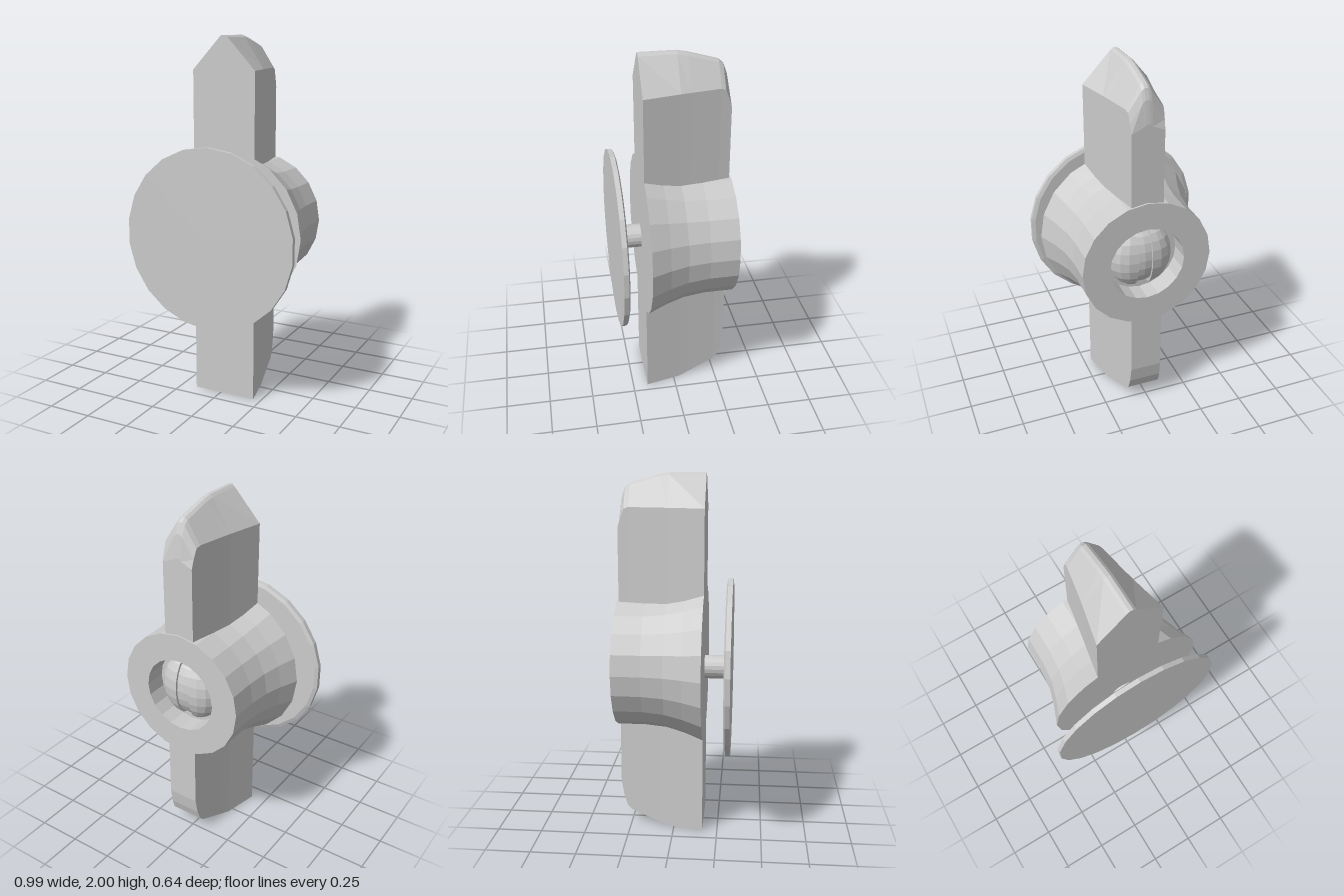
import * as THREE from 'three';

const CX = 0.0225, CY = 0.955; // axis of the knob body

export function createModel() {
  const group = new THREE.Group();
  const flat = new THREE.MeshStandardMaterial({ color: 0xcccccc, flatShading: true });
  const thin = new THREE.MeshStandardMaterial({ color: 0xcccccc, flatShading: true, side: THREE.DoubleSide });

  const add = (name, geometry, x = 0, y = 0, z = 0, material = flat) => {
    const mesh = new THREE.Mesh(geometry, material);
    mesh.name = name;
    mesh.position.set(x, y, z);
    group.add(mesh);
    return mesh;
  };

  // Lathe around the z axis, profile given as [radius, z]
  const latheZ = (profile, sides) =>
    new THREE.LatheGeometry(profile.map(([r, z]) => new THREE.Vector2(r, z)), sides).rotateX(Math.PI / 2);

  // Closed loops of [x, y, z], counter-clockwise seen from the front, ordered front to back
  const loft = (rings) => {
    const n = rings[0].length, index = [];
    for (let r = 0; r < rings.length - 1; r++) {
      for (let i = 0; i < n; i++) {
        const a = r * n + i, b = r * n + (i + 1) % n;
        index.push(a, a + n, b, b, a + n, b + n);
      }
    }
    const last = (rings.length - 1) * n;
    for (let i = 1; i < n - 1; i++) {
      index.push(0, i, i + 1, last, last + i + 1, last + i);
    }
    const g = new THREE.BufferGeometry();
    g.setAttribute('position', new THREE.Float32BufferAttribute(rings.flat(2), 3));
    g.setIndex(index);
    const out = g.toNonIndexed();
    out.computeVertexNormals();
    return out;
  };

  // Flared body with a recessed hole in the back
  add('knobBody', latheZ([
    [0, -0.2], [0.213, -0.2], [0.213, -0.32], [0.365, -0.32], [0.366, -0.16],
    [0.38, -0.04], [0.41, 0.06], [0.4525, 0.165], [0, 0.165],
  ], 20), CX, CY);

  // Wings: z, half width, lower end, shoulder height, peak height
  const stations = [
    [0.165, 0.1825, 0, 1.82, 2.0],
    [-0.035, 0.138, 0, 1.82, 2.0],
    [-0.09, 0.127, 0.018, 1.82, 1.99],
    [-0.25, 0.098, 0.075, 1.82, 1.945],
    [-0.275, 0.094, 0.1, 1.81, 1.925],
    [-0.295, 0.091, 0.16, 1.76, 1.87],
    [-0.31, 0.089, 0.25, 1.71, 1.75],
  ];
  add('upperWing', loft(stations.map(([z, w, , shoulder, peak]) => [
    [-w, 1.235, z], [w, 1.235, z], [w, shoulder, z], [0.025, peak - 0.012, z],
    [0.01, peak, z], [-0.01, peak, z], [-0.025, peak - 0.012, z], [-w, shoulder, z],
  ])), CX);
  add('lowerWing', loft(stations.map(([z, w, low]) => [
    [-w, low, z], [w, low, z], [w, 0.675, z], [-w, 0.675, z],
  ])), CX);

  // Slotted domed screw head in the hole
  const R = 0.18, SLOT = 0.04, FLAT = 0.55;
  add('screwCore', new THREE.SphereGeometry(R - 0.015, 16, 10).scale(1, 1, FLAT), CX, CY, -0.2);
  for (const side of [-1, 1]) {
    const start = side > 0 ? Math.PI / 2 : -Math.PI / 2;
    const half = new THREE.SphereGeometry(R, 8, 10, start, Math.PI).scale((R - SLOT) / R, 1, FLAT);
    add('screwHalf', half, CX + side * SLOT, CY, -0.2);
    const wall = new THREE.CircleGeometry(R, 20).rotateY(Math.PI / 2).scale(1, 1, FLAT);
    add('screwSlotWall', wall, CX + side * SLOT, CY, -0.2, thin);
  }

  // Stem and front disc
  add('stem', latheZ([[0, 0.1], [0.066, 0.1], [0.066, 0.3], [0, 0.3]], 20), 0, 0.93);
  add('disc', latheZ([[0, 0.284], [0.48, 0.284], [0.5, 0.292], [0.5, 0.318], [0, 0.318]], 22), 0, 0.93);

  return group;
}
